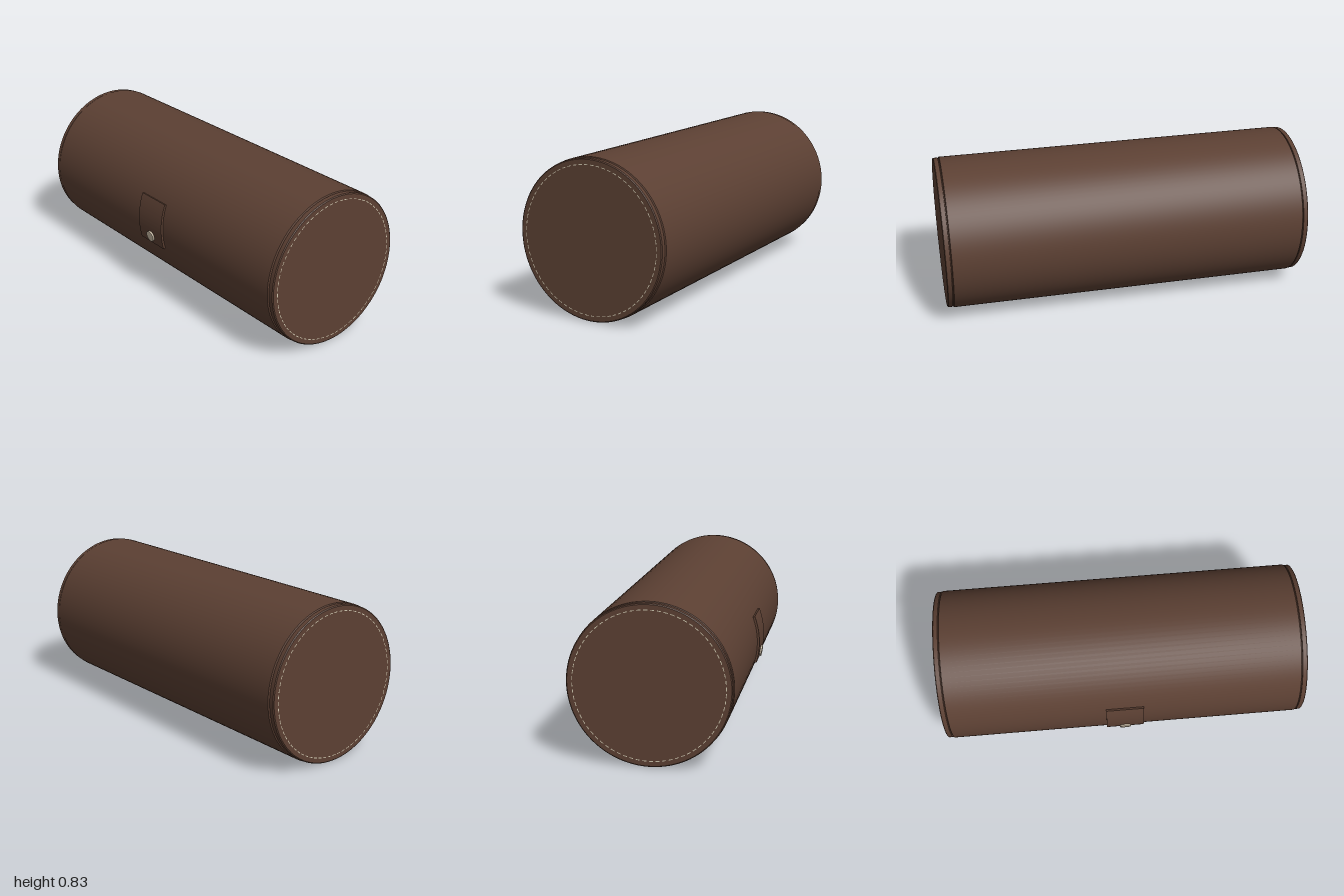
import * as THREE from 'three';
import { mergeGeometries, toCreasedNormals } from 'three/addons/utils/BufferGeometryUtils.js';

const RADIUS = 0.4175;

const material = (name, color, side = THREE.FrontSide) =>
  Object.assign(new THREE.MeshStandardMaterial({ color, side }), { name });

// Solid of revolution about the x axis, from [radius, x] pairs
function turned(profile) {
  const points = profile.map(([r, x]) => new THREE.Vector2(r, x));
  return toCreasedNormals(new THREE.LatheGeometry(points, 96).rotateZ(-Math.PI / 2), 0.5);
}

export function createModel() {
  const leather = material('brown leather', 0x5c4033);
  const metal = material('pale metal', 0xcbbca6);
  const thread = material('cream thread', 0xd0c8b0, THREE.DoubleSide);

  const model = new THREE.Group();
  model.name = 'cylindricalCase';
  const axis = new THREE.Group();
  axis.name = 'caseParts';
  axis.position.set(0, RADIUS, -0.0085);
  model.add(axis);

  const add = (name, geometry, mat, parent = axis) => {
    const mesh = new THREE.Mesh(geometry, mat);
    mesh.name = name;
    parent.add(mesh);
    return mesh;
  };

  // Main barrel
  add('barrel', turned([
    [0, -0.968], [0.41, -0.968], [RADIUS, -0.964],
    [RADIUS, 0.964], [0.41, 0.968], [0, 0.968],
  ]), leather);

  // Bevelled end caps with a ring of stitches
  for (const side of [1, -1]) {
    const end = new THREE.Group();
    end.name = side > 0 ? 'leftEnd' : 'rightEnd';
    if (side < 0) end.rotation.y = Math.PI;
    axis.add(end);
    add('endCap', turned([
      [0.408, 0.96], [0.408, 0.97], [0.414, 0.972],
      [0.414, 0.995], [0.409, 0.999], [0, 0.999],
    ]), leather, end);

    const count = 72, step = (Math.PI * 2) / count;
    const dashes = [];
    for (let i = 0; i < count; i++) {
      dashes.push(new THREE.RingGeometry(0.381, 0.385, 3, 1, i * step, step * 0.62));
    }
    const stitches = mergeGeometries(dashes).rotateY(Math.PI / 2).translate(1, 0, 0);
    add('stitching', stitches, thread, end);
  }

  // Curved closing flap wrapped over the front of the barrel
  const from = -0.265, to = 0.362, width = 0.207;
  const arc = new THREE.Shape();
  arc.absarc(0, 0, 0.429, from, to, false);
  arc.absarc(0, 0, 0.412, to, from, true);
  arc.closePath();
  const flap = new THREE.ExtrudeGeometry(arc, { depth: width, bevelEnabled: false, curveSegments: 16 });
  flap.translate(0, 0, -width / 2).rotateY(-Math.PI / 2);
  add('flap', toCreasedNormals(flap, 0.5), leather);

  // Snap button near the lower edge of the flap
  const button = add('snapButton',
    new THREE.CylinderGeometry(0.031, 0.031, 0.016, 16).rotateX(Math.PI / 2), metal);
  const tilt = 0.16;
  button.position.set(0, -Math.sin(tilt) * 0.43, Math.cos(tilt) * 0.43);
  button.rotation.x = tilt;

  return model;
}
